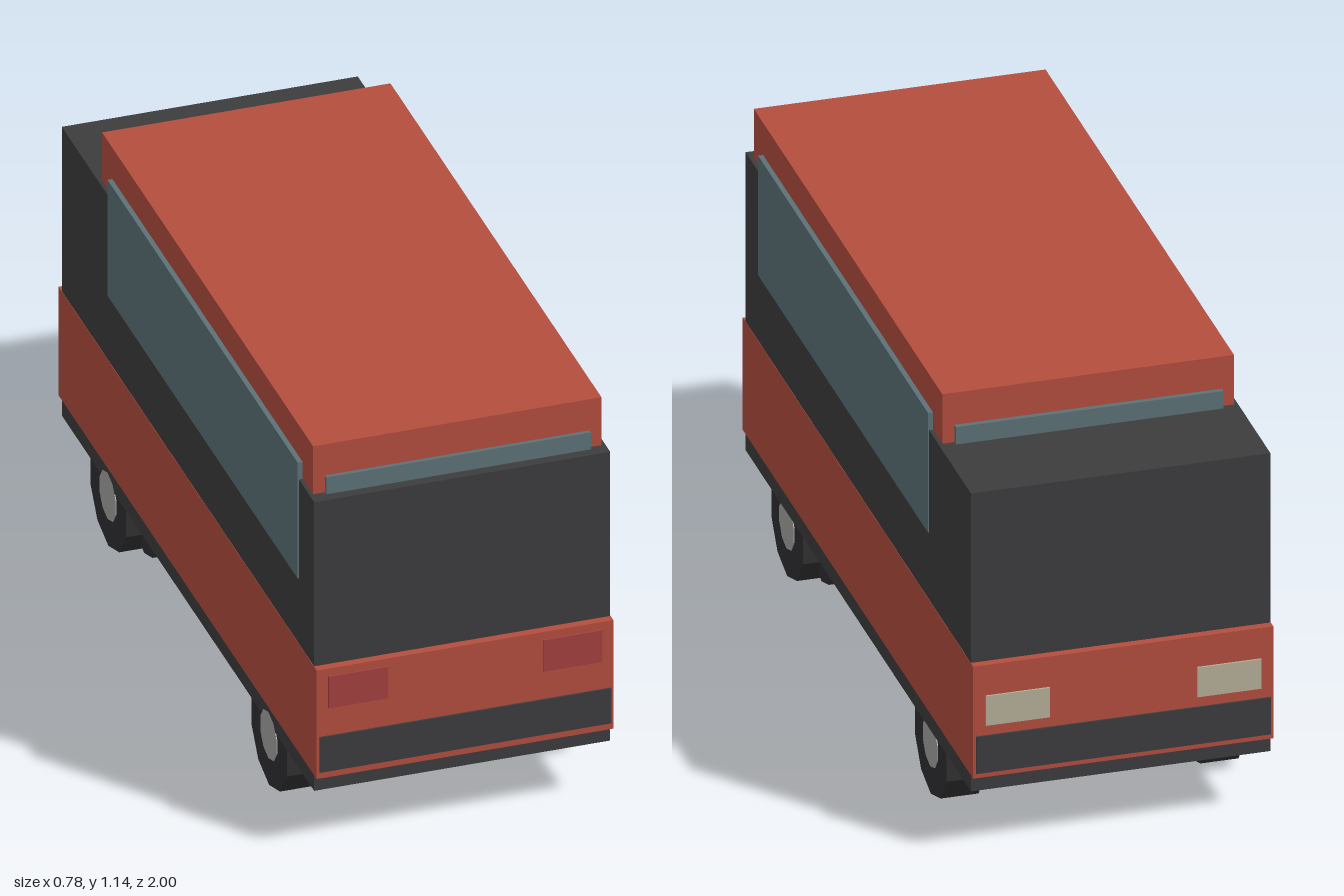
import * as THREE from 'three';

const paint = (color) => new THREE.MeshStandardMaterial({ color, flatShading: true });

export function createModel() {
  const van = new THREE.Group();
  van.name = 'van';
  const red = paint(0xb34d3e), dark = paint(0x3c3c3e), glass = paint(0x5c7176);
  const tailRed = paint(0xa33f3f), lamp = paint(0xb5ad98), tyreMat = paint(0x303032), hubMat = paint(0xa3a5a2);

  // Box given by its lower and upper bounds on each axis
  function box(name, material, [x0, x1], [y0, y1], [z0, z1]) {
    const mesh = new THREE.Mesh(new THREE.BoxGeometry(x1 - x0, y1 - y0, z1 - z0), material);
    mesh.position.set((x0 + x1) / 2, (y0 + y1) / 2, (z0 + z1) / 2);
    mesh.name = name;
    van.add(mesh);
  }

  // Body, painted lower belt and raised roof
  box('body', dark, [-0.386, 0.386], [0.18, 1.005], [-0.973, 0.973]);
  box('belt', red, [-0.387, 0.387], [0.226, 0.536], [-0.995, 0.995]);
  box('roof', red, [-0.376, 0.376], [0.98, 1.142], [-0.692, 0.935]);

  // Windows
  for (const s of [-1, 1]) {
    const xs = s > 0 ? [0.37, 0.389] : [-0.389, -0.37];
    box('sideWindow', glass, xs, [0.722, 1.053], [-0.612, 0.855]);
  }
  box('frontWindow', glass, [-0.345, 0.345], [0.72, 1.053], [0.92, 0.946]);
  box('backWindow', glass, [-0.345, 0.345], [0.72, 1.053], [-0.706, -0.68]);

  // Bumpers and lights at both ends
  box('frontBumper', dark, [-0.38, 0.38], [0.245, 0.345], [0.98, 1]);
  box('backBumper', dark, [-0.38, 0.38], [0.24, 0.342], [-1, -0.98]);
  for (const s of [-1, 1]) {
    const span = (a, b) => (s > 0 ? [a, b] : [-b, -a]);
    box('frontLight', tailRed, span(0.203, 0.357), [0.425, 0.515], [0.98, 1]);
    box('backLight', lamp, span(0.19, 0.355), [0.37, 0.452], [-1, -0.98]);
  }

  // Ten-sided wheel with a pale hub showing on both faces
  function wheel(name, radius, width, hubRadius, x, y, z) {
    const group = new THREE.Group();
    group.name = name;
    const disc = (part, r, w, material) => {
      const geometry = new THREE.CylinderGeometry(r, r, w, 10);
      geometry.rotateY(Math.PI / 10).rotateZ(Math.PI / 2);
      const mesh = new THREE.Mesh(geometry, material);
      mesh.name = part;
      group.add(mesh);
    };
    disc('tyre', radius, width, tyreMat);
    disc('hub', hubRadius, width + 0.004, hubMat);
    group.position.set(x, y, z);
    van.add(group);
  }

  // Outer wheels, smaller inner wheels and the two central ones
  for (const sz of [-1, 1]) {
    for (const sx of [-1, 1]) {
      wheel('outerWheel', 0.143, 0.098, 0.066, sx * 0.335, 0.145, sz * 0.62);
      wheel('innerWheel', 0.108, 0.07, 0.055, sx * 0.3, 0.153, sz * 0.488);
    }
    wheel('centreWheel', 0.13, 0.035, 0.058, 0, 0.22, sz > 0 ? 0.24 : -0.215);
  }

  return van;
}
